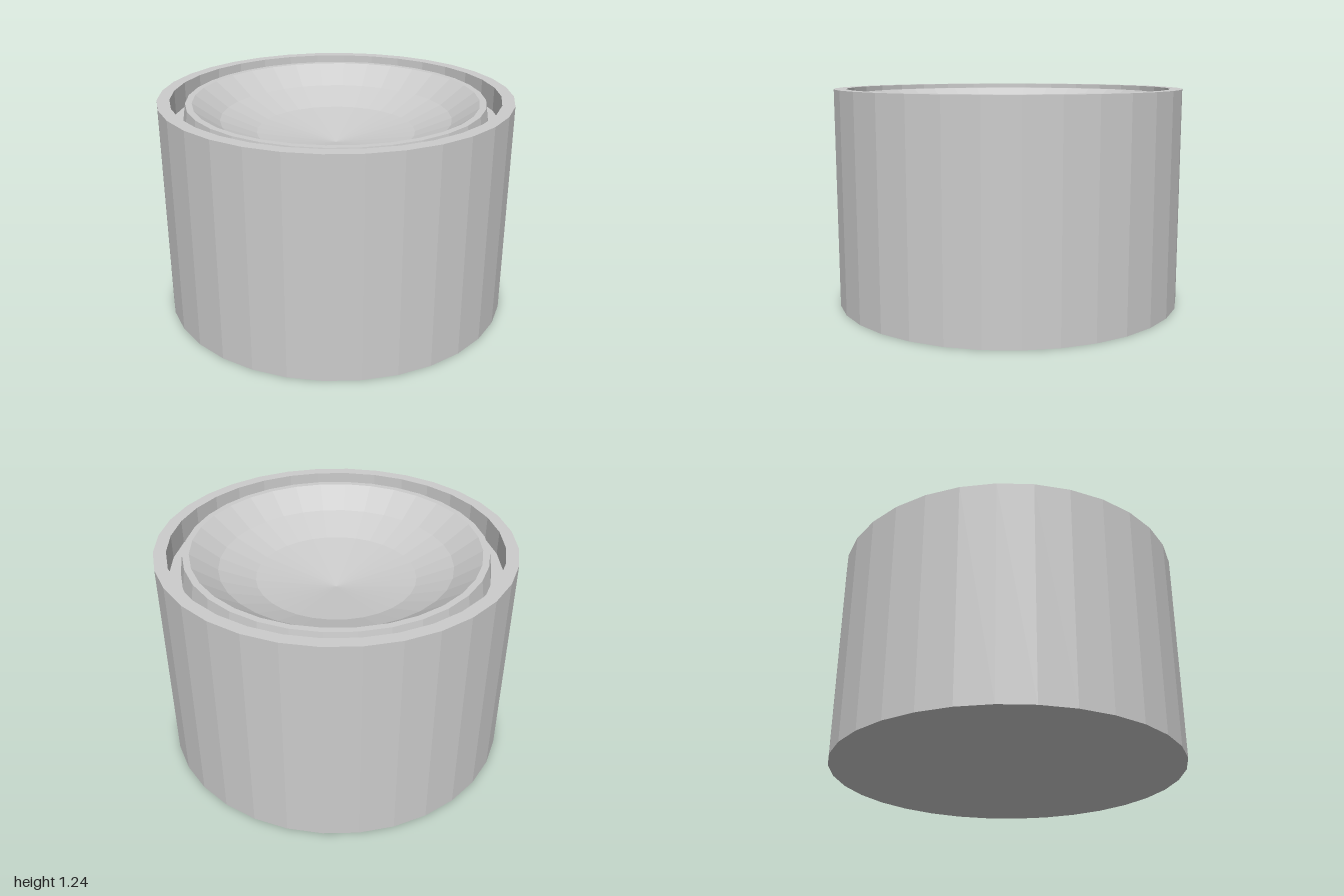
import * as THREE from 'three';

const SIDES = 32;
const HEIGHT = 1.24;
const GROOVE_Y = 1.1;

// Revolve a profile of [radius, height] pairs into a faceted part
function turned(name, profile) {
  const points = profile.map(([r, y]) => new THREE.Vector2(r, y));
  const material = new THREE.MeshStandardMaterial({ color: 0xcccccc, flatShading: true });
  const mesh = new THREE.Mesh(new THREE.LatheGeometry(points, SIDES), material);
  mesh.name = name;
  return mesh;
}

export function createModel() {
  const model = new THREE.Group();
  model.name = 'dishedCylinder';

  // Closed base, outer wall, flat rim and groove floor
  model.add(turned('outerBody', [
    [0, 0], [1, 0], [1, HEIGHT], [0.93, HEIGHT], [0.93, GROOVE_Y], [0.865, GROOVE_Y],
  ]));

  // Tapered collar with a narrow flat lip
  model.add(turned('innerCollar', [
    [0.865, GROOVE_Y], [0.847, 1.216], [0.81, 1.216],
  ]));

  // Shallow faceted bowl
  model.add(turned('bowl', [
    [0.81, 1.216], [0.66, 1.108], [0.455, 1.025], [0, 0.95],
  ]));

  return model;
}
